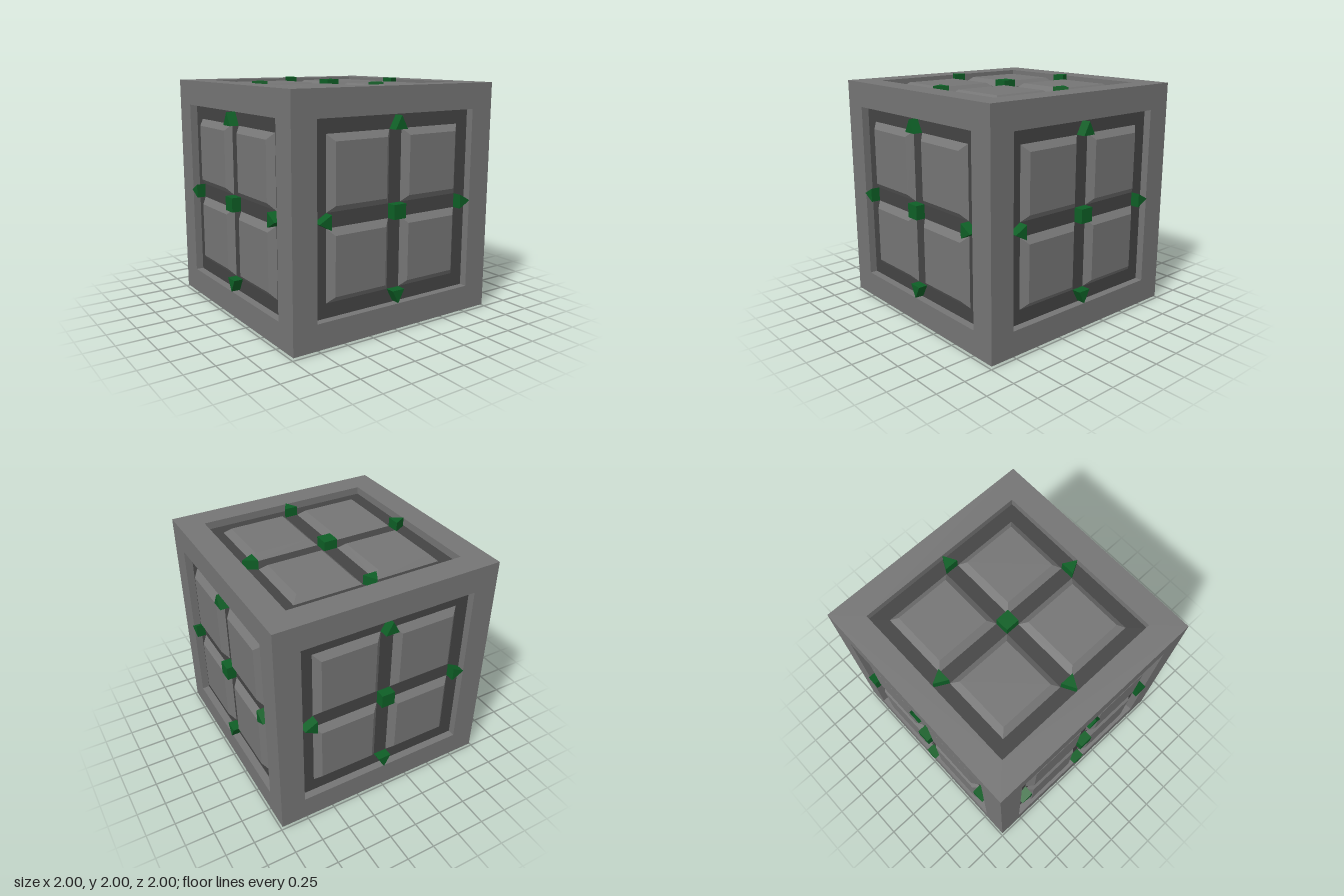
import * as THREE from 'three';

const OUT = 0.985, FLOOR = 0.92, PANEL_TOP = 0.97, TIP = 1.0;

const polygon = (pts) => new THREE.Shape(pts.map(([x, y]) => new THREE.Vector2(x, y)));
const square = (h) => [[-h, -h], [h, -h], [h, h], [-h, h]];

// Straight prism standing from z0 to z1
function prism(shape, z0, z1) {
  const g = new THREE.ExtrudeGeometry(shape, { depth: z1 - z0, bevelEnabled: false });
  return g.translate(0, 0, z0);
}

// Square rim whose outer edge is mitred to meet the neighbouring faces
function frameGeometry() {
  const shape = polygon(square(OUT));
  shape.holes.push(new THREE.Path(square(0.77).reverse().map(([x, y]) => new THREE.Vector2(x, y))));
  const g = prism(shape, FLOOR, OUT);
  const p = g.attributes.position;
  for (let i = 0; i < p.count; i++) {
    const x = p.getX(i), y = p.getY(i);
    if (Math.abs(x) > 0.9) p.setXY(i, Math.sign(x) * p.getZ(i), Math.sign(y) * p.getZ(i));
  }
  g.computeVertexNormals();
  return g;
}

// Raised panel with sloped borders
function panelGeometry() {
  const half = 0.295, inner = 0.241;
  const g = new THREE.BoxGeometry(half * 2, half * 2, PANEL_TOP - FLOOR);
  const p = g.attributes.position;
  for (let i = 0; i < p.count; i++) {
    if (p.getZ(i) > 0) p.setXY(i, Math.sign(p.getX(i)) * inner, Math.sign(p.getY(i)) * inner);
  }
  g.computeVertexNormals();
  return g;
}

export function createModel() {
  const grey = new THREE.MeshStandardMaterial({ name: 'grey', color: 0x757575 });
  const darkGrey = new THREE.MeshStandardMaterial({ name: 'darkGrey', color: 0x444444 });
  const green = new THREE.MeshStandardMaterial({ name: 'green', color: 0x0e5f26 });

  const model = new THREE.Group();
  model.name = 'panelledCube';
  const add = (parent, name, geometry, material) => {
    const m = new THREE.Mesh(geometry, material);
    m.name = name;
    parent.add(m);
    return m;
  };

  // Dark core forms the recessed floors
  add(model, 'core', new THREE.BoxGeometry(FLOOR * 2, FLOOR * 2, FLOOR * 2), darkGrey).position.y = 1;

  const frame = frameGeometry();
  const panel = panelGeometry();
  const stud = prism(polygon(square(0.06)), FLOOR, TIP);
  const arrow = prism(polygon([[0.65, -0.06], [0.76, 0], [0.65, 0.06]]), FLOOR, TIP);

  // Six identical faces
  const turns = {
    front: [0, 0], left: [0, Math.PI / 2], back: [0, Math.PI], right: [0, -Math.PI / 2],
    top: [-Math.PI / 2, 0], bottom: [Math.PI / 2, 0],
  };
  for (const [side, [rx, ry]] of Object.entries(turns)) {
    const face = new THREE.Group();
    face.name = side + 'Face';
    face.position.y = 1;
    face.rotation.set(rx, ry, 0);
    add(face, 'frame', frame, grey);
    for (const sx of [-1, 1]) for (const sy of [-1, 1]) {
      add(face, 'panel', panel, grey).position.set(sx * 0.355, sy * 0.355, (FLOOR + PANEL_TOP) / 2);
    }
    add(face, 'centreStud', stud, green);
    for (let i = 0; i < 4; i++) add(face, 'arrow', arrow, green).rotation.z = i * Math.PI / 2;
    model.add(face);
  }
  return model;
}
